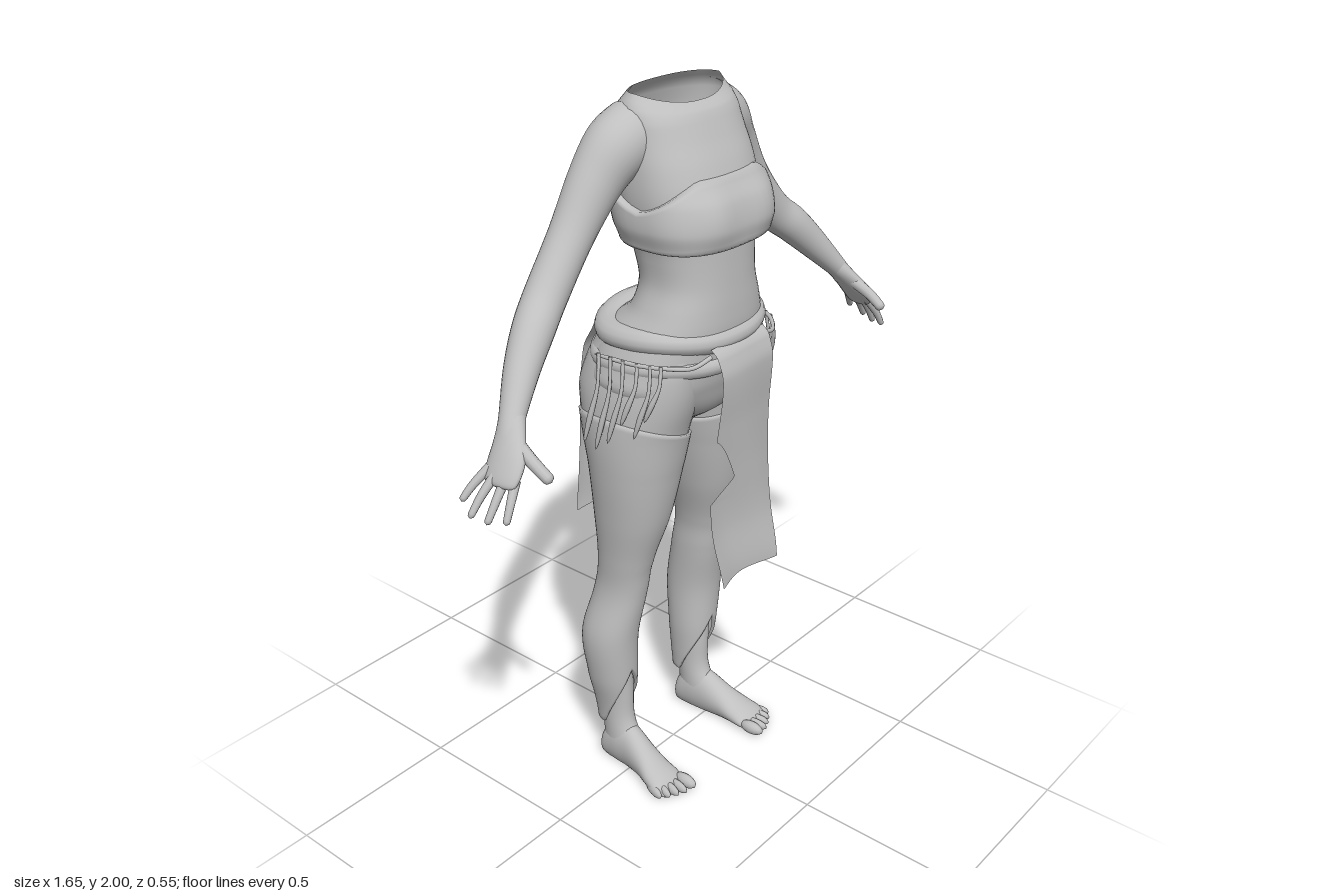
import * as THREE from 'three';
import { mergeVertices } from 'three/addons/utils/BufferGeometryUtils.js';

const grey = new THREE.MeshStandardMaterial({ color: 0xbfbfbf, side: THREE.DoubleSide });
grey.name = 'plain grey';

// Smooth grid surface from a function of (u, v), seams welded
function surface(fn, nu, nv) {
  const pos = [], idx = [];
  for (let j = 0; j <= nv; j++)
    for (let i = 0; i <= nu; i++) pos.push(...fn(i / nu, j / nv));
  for (let j = 0; j < nv; j++)
    for (let i = 0; i < nu; i++) {
      const p = j * (nu + 1) + i, q = p + nu + 1;
      idx.push(p, p + 1, q, p + 1, q + 1, q);
    }
  const g = new THREE.BufferGeometry();
  g.setAttribute('position', new THREE.Float32BufferAttribute(pos, 3));
  g.setIndex(idx);
  const m = mergeVertices(g, 1e-5);
  m.computeVertexNormals();
  return m;
}

// Smooth interpolation of rows keyed by their first (descending) column
function sample(rows, key) {
  let i = 0;
  while (i < rows.length - 2 && key < rows[i + 1][0]) i++;
  const t = THREE.MathUtils.clamp((rows[i][0] - key) / (rows[i][0] - rows[i + 1][0]), 0, 1);
  const row = k => rows[THREE.MathUtils.clamp(k, 0, rows.length - 1)];
  const [a, b, c, d] = [row(i - 1), row(i), row(i + 1), row(i + 2)];
  return b.map((_, k) => 0.5 * (2 * b[k] + (c[k] - a[k]) * t + (2 * a[k] - 5 * b[k] + 4 * c[k] - d[k]) * t * t
    + (3 * b[k] - a[k] - 3 * c[k] + d[k]) * t * t * t));
}
const pw = (n, e) => Math.sign(n) * Math.abs(n) ** e;
const lerp = THREE.MathUtils.lerp;

// Point on a horizontal section [y, xMin, xMax, zFront, zBack]
function section([, x0, x1, zf, zb], y, a, grow = 0, e = 0.85) {
  const zm = (zf + zb) / 2;
  return [(x0 + x1) / 2 + ((x1 - x0) / 2 + grow) * pw(Math.cos(a), e), y,
    zm + ((zf - zb) / 2 + grow) * pw(Math.sin(a), e)];
}

// Tapered limb through points [x, y, z, rz, rSide]
function limb(pts, nu = 16, nv = 24, round = true) {
  const n = pts.length - 1;
  const rows = pts.map((p, i) => [n - i, ...p]);
  const at = v => sample(rows, n * (1 - v)).slice(1);
  const vec = p => new THREE.Vector3(p[0], p[1], p[2]);
  return surface((u, v) => {
    const p = at(v), c = vec(p);
    const T = vec(at(Math.min(1, v + 0.01))).sub(vec(at(Math.max(0, v - 0.01)))).normalize();
    const A = new THREE.Vector3(0, 0, 1).addScaledVector(T, -T.z).normalize();
    const B = A.clone().cross(T);
    const cap = round && v > 0.85 ? Math.sqrt(Math.max(0, 1 - ((v - 0.85) / 0.15) ** 2)) : 1;
    const a = u * Math.PI * 2;
    c.addScaledVector(B, Math.cos(a) * (p[4] ?? p[3]) * cap).addScaledVector(A, Math.sin(a) * p[3] * cap);
    return c.toArray();
  }, nu, nv);
}

export function createModel() {
  const model = new THREE.Group();
  const add = (name, geo) => {
    const m = new THREE.Mesh(geo, grey);
    m.name = name;
    model.add(m);
  };
  const addPair = (name, geo) => {
    add('left' + name, geo);
    const g = geo.clone().scale(-1, 1, 1), ix = g.index.array;
    for (let i = 0; i < ix.length; i += 3) [ix[i], ix[i + 1]] = [ix[i + 1], ix[i]];
    g.computeVertexNormals();
    add('right' + name, g);
  };
  const TAU = Math.PI * 2;

  // Torso, open at the neck
  const torso = [
    [1.985, .16, .09, -.06], [1.96, .182, .112, -.085], [1.9, .188, .138, -.102], [1.82, .195, .175, -.105],
    [1.74, .195, .2, -.1], [1.66, .182, .2, -.08], [1.6, .168, .202, -.06], [1.52, .163, .206, -.045],
    [1.45, .187, .21, -.062], [1.4, .215, .21, -.12], [1.3, .25, .2, -.165], [1.24, .25, .185, -.16],
    [1.16, .15, .15, -.11], [1.09, .03, .06, -.03],
  ].map(([y, h, f, b]) => [y, -h, h, f, b]);
  add('torso', surface((u, v) => {
    const y = lerp(1.985, 1.09, v), a = u * TAU;
    const dip = y > 1.93 ? (y - 1.93) / 0.055 : 0;
    const p = section(sample(torso, y), y, a);
    p[1] += dip * (0.01 - 0.03 * Math.max(0, Math.sin(a)));
    p[0] *= 1 - 0.25 * dip * Math.max(0, Math.sin(a));
    return p;
  }, 56, 70));

  // Chest band, curling in to the skin at both edges
  const bust = [[1.8, .2, .185, -.107], [1.74, .21, .222, -.108], [1.68, .212, .236, -.095], [1.63, .198, .228, -.078]]
    .map(([y, h, f, b]) => [y, -h, h, f, b]);
  add('chestBand', surface((u, v) => {
    const a = u * TAU, s = Math.sin(a);
    const top = 1.8 - 0.075 * Math.max(0, 1 - Math.abs(s) * 1.15) ** 0.8;
    const w = THREE.MathUtils.clamp((v - 0.08) / 0.84, 0, 1);
    const y = lerp(top, 1.627, w);
    const edge = Math.min(v, 1 - v) < 0.04 ? -0.03 : Math.min(v, 1 - v) < 0.09 ? 0 : 0.004;
    const p = section(sample(bust, y), y, a, edge, 0.76);
    if (s > 0) p[2] += 0.012 * s * (Math.exp(-(((Math.abs(p[0]) - 0.1) / 0.06) ** 2)) - 0.6) * Math.sin(Math.PI * w);
    return p;
  }, 56, 25));

  // Two padded belt rolls
  const roll = (name, y, h, f, b, r, ry) => add(name, surface((u, v) => {
    const a = u * TAU, c = v * TAU;
    return section([0, -h, h, f, b], y - ry * Math.sin(c) + 0.006 * Math.sin(a * 3), a, r * (Math.cos(c) - 1), 0.88);
  }, 56, 14));
  roll('upperBelt', 1.383, .236, .226, -.178, .045, .036);
  roll('lowerBelt', 1.315, .25, .218, -.185, .026, .026);

  // Legs: skin at the hip, long leggings with slanted top and slit hem, bare ankle
  const leg = [
    [1.36, .03, .225, .185, -.14], [1.3, .015, .25, .185, -.165], [1.22, .002, .268, .175, -.188], [1.12, .008, .276, .147, -.165],
    [1.0, .03, .27, .125, -.138], [.85, .062, .254, .095, -.124], [.7, .1, .236, .05, -.115],
    [.6, .106, .234, .03, -.13], [.45, .114, .265, .006, -.16], [.3, .115, .25, -.003, -.15],
    [.2, .122, .226, -.013, -.14], [.13, .127, .217, -.018, -.134],
  ];
  addPair('Thigh', surface((u, v) => {
    const y = lerp(1.36, 1.0, v);
    return section(sample(leg, y), y, u * TAU, -0.007, 0.95);
  }, 40, 20));
  addPair('Legging', surface((u, v) => {
    const a = u * TAU;
    const top = 1.125 + 0.045 * Math.cos(a);
    const off = Math.abs(a > Math.PI * 1.5 ? a - TAU - Math.PI / 2 : a - Math.PI / 2);
    const hem = 0.14 + 0.2 * Math.max(0, 1 - off / 1.7);
    const w = THREE.MathUtils.clamp((v - 0.02) / 0.96, 0, 1), y = lerp(top, hem, w);
    return section(sample(leg, y), y, a, v === 0 || v === 1 ? -0.01 : 0, 0.95);
  }, 48, 60));
  const shin = [[.4, .13, .235, -.016, -.135], [.25, .133, .217, -.016, -.122], [.15, .135, .214, -.012, -.115], [.06, .135, .216, .03, -.112]];
  addPair('Ankle', surface((u, v) => {
    const y = lerp(.4, .06, v);
    return section(sample(shin, y), y, u * TAU, 0, 1);
  }, 28, 14));

  // Foot from heel to ball: [key, centreX, halfWidth, height, z]
  const foot = [
    [7, .172, .004, .03, -.121], [6, .173, .034, .09, -.108], [5, .175, .042, .14, -.06], [4, .178, .042, .135, -.01],
    [3, .187, .045, .098, .05], [2, .196, .053, .066, .1], [1, .2, .056, .046, .14], [0, .201, .045, .02, .172],
  ];
  addPair('Foot', surface((u, v) => {
    const [, x, w, h, z] = sample(foot, 7 * (1 - v)), a = u * TAU;
    return [x + w * Math.cos(a), Math.max(0, h * 0.45 - h * 0.55 * Math.sin(a)), z];
  }, 28, 30));
  for (let i = 0; i < 5; i++) {
    const toe = new THREE.SphereGeometry(1, 12, 8).scale(i ? .0125 : .018, i ? .016 : .02, .04);
    toe.rotateY(0.05 + i * 0.07).translate([.16, .188, .21, .23, .247][i], i ? .016 : .02, [.178, .172, .162, .149, .132][i]);
    addPair('Toe' + (i + 1), toe);
  }

  // Arms, palms and fingers
  addPair('Arm', limb([
    [.135, 1.897, -.012, .082, .084], [.2, 1.866, -.016, .08, .083], [.265, 1.795, -.026, .066, .072], [.35, 1.68, -.03, .056, .057],
    [.45, 1.56, -.022, .054, .054], [.52, 1.5, .002, .052, .052], [.59, 1.43, .03, .044, .043], [.665, 1.345, .068, .033, .029], [.69, 1.31, .08, .036, .025],
  ], 28, 48, false));
  addPair('Palm', limb([[.66, 1.35, .066, .033, .028], [.69, 1.31, .085, .043, .024], [.72, 1.27, .102, .054, .021], [.745, 1.235, .108, .052, .017], [.757, 1.215, .11, .04, .012]], 20, 20));
  const fingers = [
    [[.738, 1.25, .065], [.778, 1.21, .045], [.806, 1.175, .033]],
    [[.745, 1.242, .09], [.787, 1.195, .08], [.82, 1.15, .074]],
    [[.742, 1.236, .117], [.778, 1.188, .118], [.807, 1.142, .116]],
    [[.733, 1.236, .142], [.765, 1.19, .154], [.788, 1.148, .16]],
    [[.69, 1.31, .1], [.697, 1.275, .165], [.692, 1.24, .218]],
  ];
  fingers.forEach((f, i) => {
    const r = i === 4 ? .018 : .0125;
    addPair(i === 4 ? 'Thumb' : 'Finger' + (i + 1), limb(f.map((p, k) => [...p, r - k * .002, r - k * .002]), 10, 14));
  });

  // Front hanging cloth with a ragged notch at one edge
  const frontFall = [[1.375, .212], [1.36, .232], [1.3, .25], [1.15, .242], [1.0, .236], [.85, .238], [.69, .262]];
  add('frontCloth', surface((u, v) => {
    const y = lerp(1.375, .69, v);
    const notch = y > .99 ? .13 : .055;
    const x0 = -.112 - .006 * Math.sin(y * 9) + .085 * Math.max(0, 1 - Math.abs(y - .99) / notch) ** .7;
    const x = lerp(x0, .112 + .01 * v, u);
    return [x, y, sample(frontFall, y)[1] + .016 * (.2 + .8 * v) * Math.sin(x * 20 + y * 7)];
  }, 24, 70));

  // Back hanging cloth, draped over the seat
  const backFall = [[1.37, -.165], [1.345, -.185], [1.27, -.225], [1.15, -.238], [1.0, -.238], [.87, -.246], [.74, -.262]];
  add('backCloth', surface((u, v) => {
    const y = lerp(1.37, .74, v), x = lerp(-.112, .11, u);
    return [x, y + .015 * v * Math.sin(u * 4), sample(backFall, y)[1] + .014 * (.2 + .8 * v) * Math.sin(x * 20 - y * 6)];
  }, 24, 48));

  // Thin cord looped over the hip and its hanging tassels
  addPair('HipCord', limb([[.11, 1.355, .215, .006], [.17, 1.34, .2, .006], [.225, 1.345, .15, .006], [.252, 1.345, .08, .006], [.256, 1.34, -.05, .006]], 8, 24));
  const tassels = [[.228, .15, .15], [.24, .125, .2], [.25, .09, .17], [.258, .05, .23], [.26, .01, .26], [.26, -.03, .25]];
  tassels.forEach(([x, z, drop], i) => addPair('Tassel' + (i + 1), limb([
    [x, 1.35, z, .005], [x + .012, 1.35 - drop * .35, z + .004, .005],
    [x + .026, 1.35 - drop * .7, z - .012, .008], [x + .034, 1.35 - drop, z - .028, .004],
  ], 8, 16)));
  return model;
}
